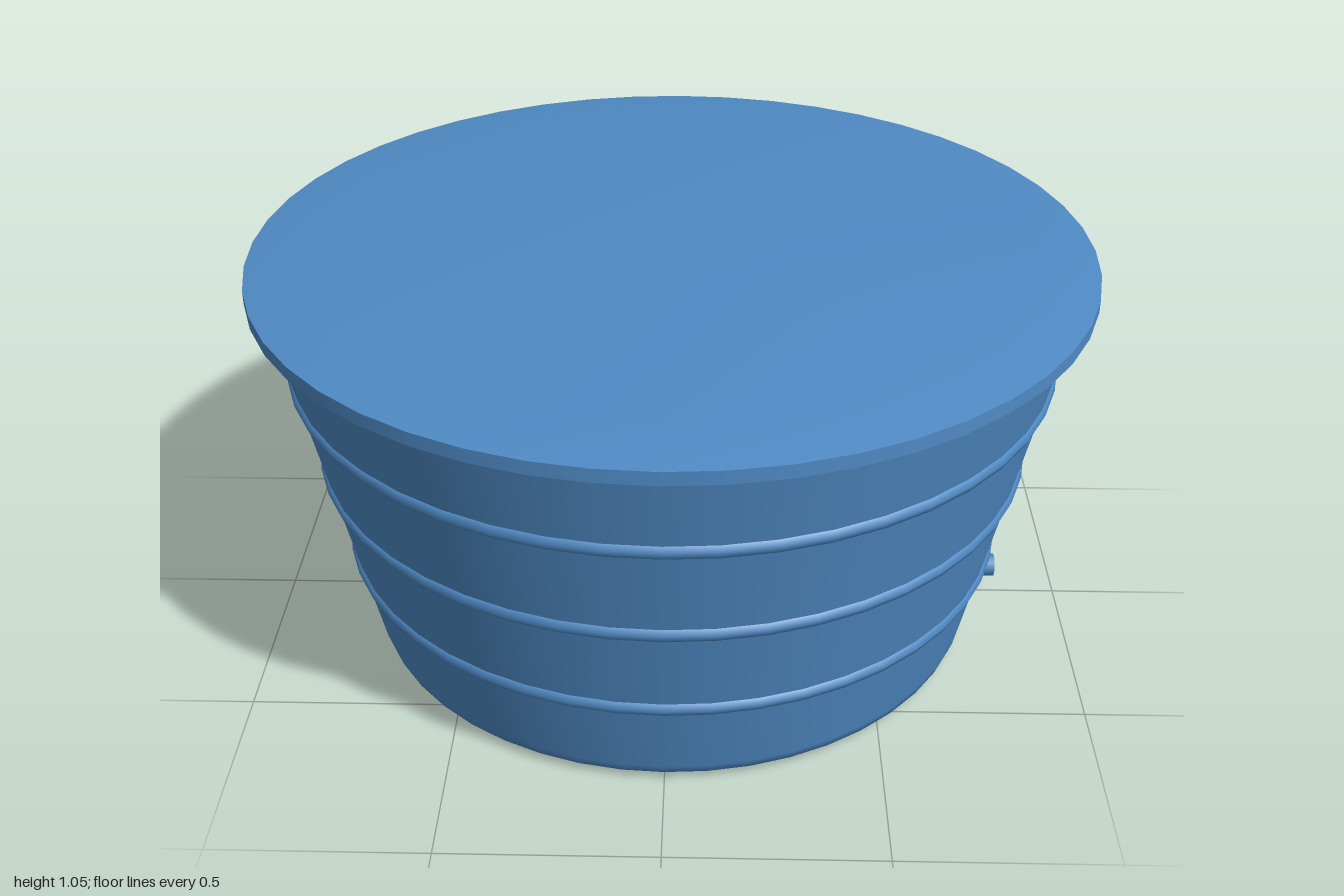
import * as THREE from 'three';

const SIDES = 48;

export function createModel() {
  const group = new THREE.Group();
  group.name = 'waterTank';
  const blue = new THREE.MeshStandardMaterial({ color: 0x4f8ac4 });
  blue.name = 'tank blue';

  const add = (name, geometry) => {
    const mesh = new THREE.Mesh(geometry, blue);
    mesh.name = name;
    group.add(mesh);
    return mesh;
  };
  // Smooth surface of revolution; points run from bottom to top on the outside
  const lathe = (name, points) =>
    add(name, new THREE.LatheGeometry(points.map(([r, y]) => new THREE.Vector2(r, y)), SIDES));

  // Tapered tub with a rounded bottom edge
  const wallRadius = (y) => 0.757 + (0.2 * (y - 0.03)) / 0.925;
  lathe('tubBody', [
    [0, 0], [0.71, 0], [0.732, 0.008], [0.752, 0.022], [0.76, 0.045],
    [wallRadius(0.25), 0.25], [wallRadius(0.5), 0.5], [wallRadius(0.74), 0.74], [0.957, 0.96],
  ]);

  // Three reinforcing hoops around the wall
  [0.25, 0.493, 0.742].forEach((y, i) => {
    const hoop = add(`hoop${i + 1}`, new THREE.TorusGeometry(wallRadius(y) - 0.01, 0.021, 8, SIDES));
    hoop.rotation.x = -Math.PI / 2;
    hoop.position.y = y;
  });

  // Overhanging lid: underside, rim and shallow dome, split to keep the edges sharp
  lathe('lidUnderside', [[0.94, 0.955], [0.998, 0.955]]);
  lathe('lidRim', [[0.998, 0.955], [0.998, 0.987]]);
  lathe('lidDome', [[0.998, 0.987], [0.86, 1.007], [0.32, 1.046], [0, 1.046]]);

  // Small drain outlet near the base on the left side
  const outlet = add('drainOutlet', new THREE.CylinderGeometry(0.029, 0.029, 0.07, 8));
  outlet.rotation.z = -Math.PI / 2;
  outlet.position.set(0.803, 0.082, 0);

  return group;
}
